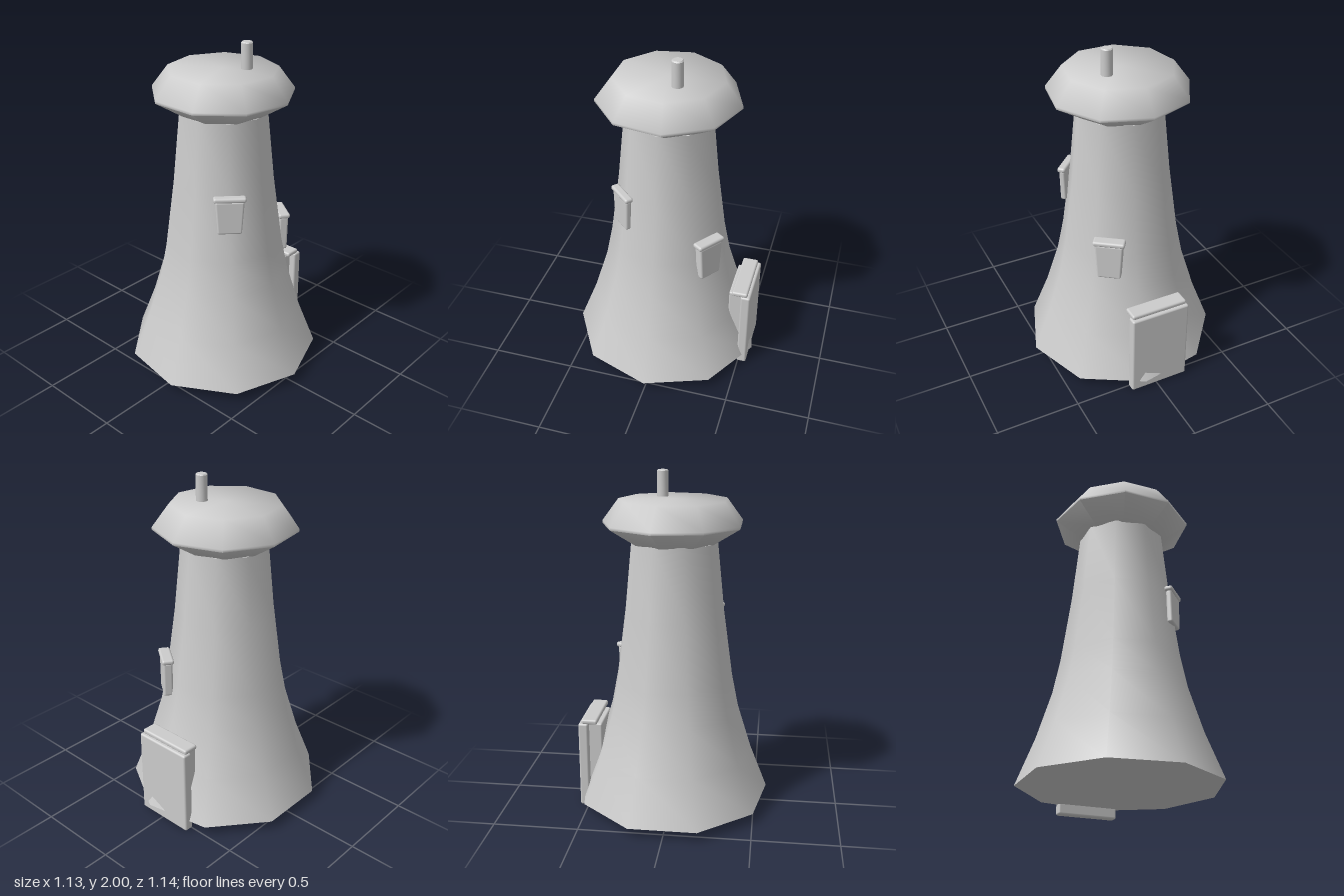
import * as THREE from 'three';
import { toCreasedNormals } from 'three/addons/utils/BufferGeometryUtils.js';
import { RoundedBoxGeometry } from 'three/addons/geometries/RoundedBoxGeometry.js';

const SIDES = 9;
const AXIS_X = -0.017;

export function createModel() {
  const model = new THREE.Group();
  const material = new THREE.MeshStandardMaterial({ color: 0xcccccc });

  const add = (parent, name, geometry, x = 0, y = 0, z = 0) => {
    const mesh = new THREE.Mesh(geometry, material);
    mesh.name = name;
    mesh.position.set(x, y, z);
    parent.add(mesh);
    return mesh;
  };

  // nine-sided turned shape, profile listed from bottom to top as [radius, y]
  const turned = (profile, start) => toCreasedNormals(
    new THREE.LatheGeometry(profile.map(([r, y]) => new THREE.Vector2(r, y)), SIDES, start), 1.0);

  // rounded block whose width shrinks towards its bottom edge
  const block = (w, h, d, radius, bottomScale = 1) => {
    const geometry = new RoundedBoxGeometry(w, h, d, 3, radius);
    const p = geometry.attributes.position;
    for (let i = 0; i < p.count; i++) {
      const t = p.getY(i) / h + 0.5;
      p.setX(i, p.getX(i) * THREE.MathUtils.lerp(bottomScale, 1, t));
    }
    return geometry;
  };

  // flared tower
  add(model, 'tower', turned([
    [0, 0.06], [0.58, 0.06], [0.475, 0.33], [0.392, 0.6], [0.352, 0.8],
    [0.297, 1.2], [0.255, 1.61], [0, 1.61],
  ], Math.PI / 2), AXIS_X);

  // cap: spreading underside, thin rim, bevelled top
  add(model, 'roof', turned([
    [0, 1.605], [0.25, 1.605], [0.41, 1.705], [0.41, 1.72], [0.315, 1.847], [0, 1.85],
  ], Math.PI), AXIS_X);

  // chimney
  add(model, 'chimney', toCreasedNormals(new THREE.LatheGeometry([
    [0, -0.09], [0.033, -0.09], [0.033, 0.084], [0.027, 0.09], [0, 0.09],
  ].map(([r, y]) => new THREE.Vector2(r, y)), 20), 0.7), 0.093, 1.91, -0.075);

  // windows: tapered panel under a rounded lintel
  const addWindow = (name, x, z, facing, top, height, depth) => {
    const group = new THREE.Group();
    group.name = name;
    group.position.set(x, top, z);
    group.rotation.y = facing;
    add(group, 'windowPanel', block(0.165, height, depth - 0.015, 0.012, 0.83), 0, -0.025 - height / 2, 0);
    add(group, 'windowLintel', block(0.185, 0.03, depth, 0.013), 0, -0.015, 0);
    model.add(group);
  };
  addWindow('frontWindow', 0.225, 0.21, THREE.MathUtils.degToRad(46), 1.21, 0.2, 0.05);
  addWindow('backWindow', 0.19, -0.294, THREE.MathUtils.degToRad(144), 0.947, 0.222, 0.07);

  // door at the back: outer slab, lintel and the frame reaching into the wall
  const door = new THREE.Group();
  door.name = 'door';
  door.position.x = -0.018;
  add(door, 'doorSlab', block(0.365, 0.53, 0.058, 0.012), 0, 0.265, -0.522);
  add(door, 'doorLintel', block(0.35, 0.03, 0.095, 0.012), 0, 0.54, -0.485);
  add(door, 'doorFrame', block(0.28, 0.45, 0.09, 0.01), 0, 0.295, -0.46);
  model.add(door);

  return model;
}
